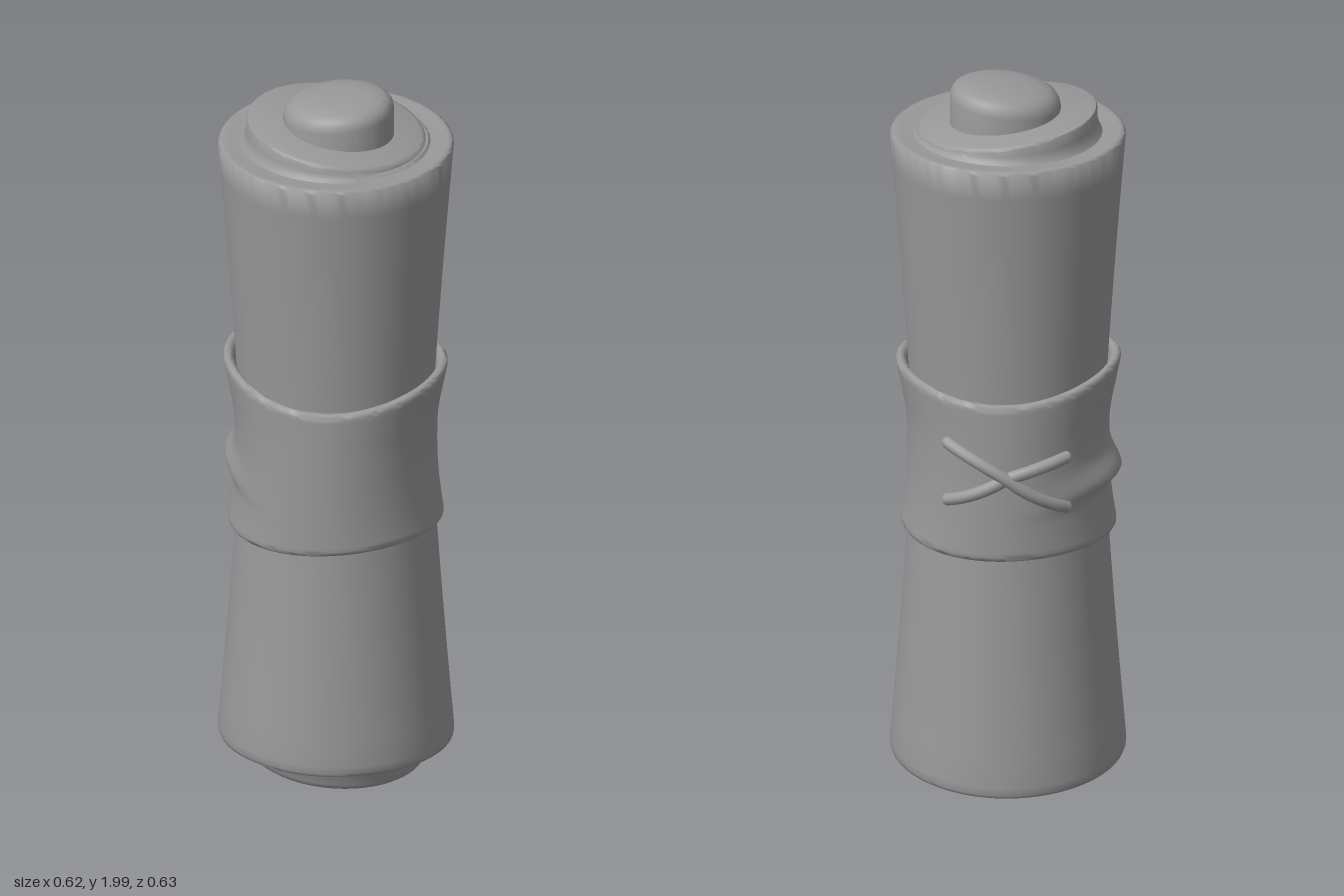
import * as THREE from 'three';
import { toCreasedNormals } from 'three/addons/utils/BufferGeometryUtils.js';

const material = new THREE.MeshStandardMaterial({ color: 0x999999 });
const { smoothstep } = THREE.MathUtils;

function addMesh(group, name, geometry) {
  const mesh = new THREE.Mesh(geometry, material);
  mesh.name = name;
  group.add(mesh);
}

// Turned profile (listed from bottom to top) whose vertices are then moved by a rule
function turned(profile, rule, crease = 0.8, segments = 96) {
  const points = profile.map(([r, y]) => new THREE.Vector2(r, y));
  const geometry = new THREE.LatheGeometry(points, segments);
  const pos = geometry.attributes.position;
  const v = new THREE.Vector3();
  for (let i = 0; i < pos.count; i++) {
    rule(v.fromBufferAttribute(pos, i));
    pos.setXYZ(i, v.x, v.y, v.z);
  }
  return toCreasedNormals(geometry, crease);
}

// Outward bulges and pinches of the wrap; a is the angle from +z towards +x
function wrapRadius(a, y) {
  const side = Math.sin(a) ** 2;
  const t = (y - 0.98) / 0.22;
  let r = 0.285 - side * 0.02 * (1 - t * t);
  r += side * 0.008 * smoothstep(t, 0.3, 1);
  // pinched fold running round the -x side, sagging at both ends
  const d = Math.atan2(Math.sin(a + 1.75), Math.cos(a + 1.75));
  const h = y - 0.922 + 0.03 * d * d;
  r += 0.035 * Math.exp(-d * d / 0.4) * Math.exp(-h * h / (h > 0 ? 0.0025 : 0.0006));
  return r;
}

// Closed band: each profile point is [inset from the outer face, height from 0 to 1]
function wrapGeometry() {
  const profile = [];
  for (let i = 0; i <= 6; i++) {
    const a = Math.PI * i / 6;
    profile.push([0.014 + 0.014 * Math.cos(a), 0.035 * (1 - Math.sin(a))]);
  }
  for (let i = 1; i < 40; i++) profile.push([0, 0.035 + 0.93 * i / 40]);
  for (let i = 0; i <= 6; i++) {
    const a = Math.PI * i / 6;
    profile.push([0.014 - 0.014 * Math.cos(a), 0.965 + 0.035 * Math.sin(a)]);
  }
  profile.push(profile[0]);
  // the inset is kept as 1 - radius so every ring keeps its angle
  return turned(profile.map(([d, u]) => [1 - d, u]), (v) => {
    const a = Math.atan2(v.x, v.z);
    const inset = 1 - Math.hypot(v.x, v.z);
    const low = 0.753 + 0.011 * Math.cos(a) + 0.008 * Math.sin(a) + 0.008 * Math.sin(2 * a);
    const high = 1.208 - 0.022 * Math.cos(2 * a) - 0.006 * Math.sin(a);
    const y = low + (high - low) * v.y;
    const r = wrapRadius(a, y) - inset;
    v.set(r * Math.sin(a), y, r * Math.cos(a));
  }, 1.2, 128);
}

// Centre line of a cord lying on the back of the wrap
function cordPoints(yRight, yLeft, lift) {
  const points = [];
  for (let i = 0; i <= 12; i++) {
    const s = i / 6 - 1;
    const a = Math.PI + 0.03 + s * 0.58;
    const k = Math.abs(s);
    const y = 0.985 + ((s < 0 ? yRight : yLeft) - 0.985) * k * (1.4 - 0.4 * k);
    const r = 0.283 + (0.01 + lift) * (1 - s * s);
    points.push(new THREE.Vector3(r * Math.sin(a), y, r * Math.cos(a)));
  }
  return points;
}

export function createModel() {
  const group = new THREE.Group();

  // Outer sheet: waisted tube, lower rim slanting down towards the back
  const sheet = [[0, 0.1], [0.225, 0.1], [0.25, 0.104], [0.28, 0.108], [0.3, 0.109], [0.307, 0.112], [0.31, 0.12]];
  for (let i = 0; i <= 24; i++) {
    const t = i / 12 - 1;
    sheet.push([0.252 + 0.058 * Math.pow(Math.abs(t), 1.25), 0.99 + (t < 0 ? 0.85 : 0.86) * t]);
  }
  sheet.push([0.308, 1.855], [0.303, 1.859], [0.295, 1.86], [0.275, 1.857], [0.25, 1.856], [0.2, 1.856], [0, 1.856]);
  addMesh(group, 'outerSheet', turned(sheet, (v) => {
    const w = 1 - smoothstep(v.y, 0.13, 0.6);
    v.y += w * (0.08 * v.z - 0.09 * v.z * v.z + 0.004);
  }, 1));

  // Middle roll: pokes out at both ends with slanted faces
  const middle = [[0, 0.056], [0.21, 0.056], [0.223, 0.058], [0.231, 0.064], [0.235, 0.075], [0.24, 0.095],
    [0.255, 0.125], [0.235, 0.3], [0.235, 1.7], [0.255, 1.85], [0.242, 1.862], [0.236, 1.876],
    [0.235, 1.892], [0.232, 1.898], [0.224, 1.901], [0, 1.901]];
  addMesh(group, 'middleRoll', turned(middle, (v) => {
    if (v.y > 1.87) v.y -= 0.13 * v.x * smoothstep(v.y, 1.86, 1.892);
    else if (v.y < 0.09) v.y -= 0.06 * v.x;
  }));

  // Core: rounded rod ends, also slanted
  const core = [[0, 0.009], [0.06, 0.011], [0.09, 0.016], [0.112, 0.024], [0.127, 0.035], [0.135, 0.049], [0.138, 0.065],
    [0.14, 0.2], [0.146, 1.8], [0.146, 1.942], [0.143, 1.957], [0.134, 1.971], [0.118, 1.981], [0.09, 1.988],
    [0.05, 1.992], [0, 1.993]];
  addMesh(group, 'core', turned(core, (v) => {
    if (v.y > 1.9) v.y += 0.1 * v.x;
    else if (v.y < 0.1) v.y -= 0.1 * v.x;
    if (v.y > 1) v.x += 0.007;
    v.z *= 0.95;
  }, 1));

  // Wrap around the waist
  addMesh(group, 'wrap', wrapGeometry());

  // Crossed cords with rounded ends on the back
  [[1.065, 0.885, 0.006], [0.905, 1.025, 0]].forEach(([right, left, lift], i) => {
    const tie = new THREE.Group();
    tie.name = 'tie' + (i + 1);
    const points = cordPoints(right, left, lift);
    addMesh(tie, 'cord', new THREE.TubeGeometry(new THREE.CatmullRomCurve3(points), 48, 0.017, 12));
    for (const p of [points[0], points[12]]) {
      addMesh(tie, 'cordEnd', new THREE.SphereGeometry(0.017, 12, 8).translate(p.x, p.y, p.z));
    }
    group.add(tie);
  });

  return group;
}
